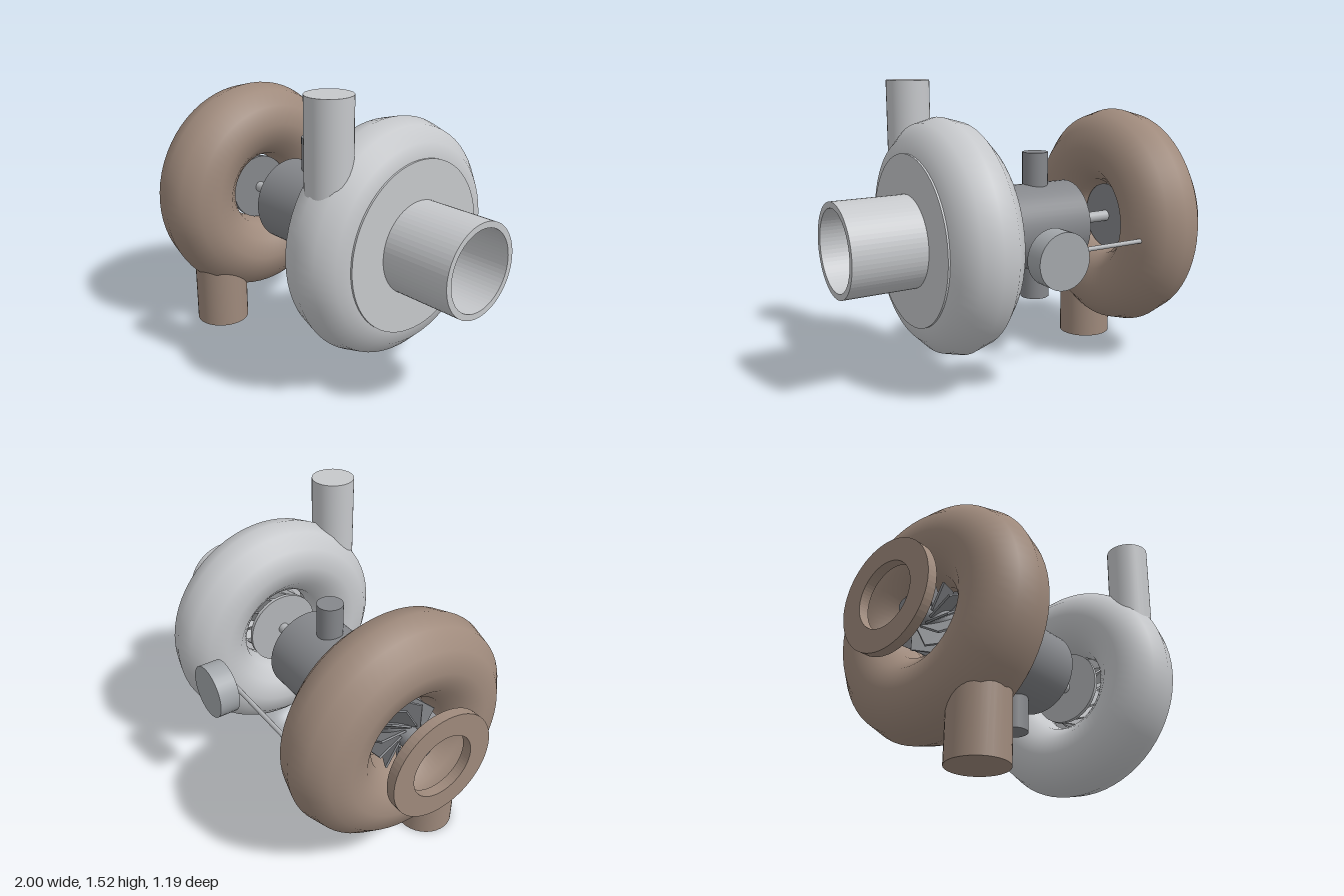
import * as THREE from 'three';

const AXIS_Y = 0.757;
const mat = (name, color) => {
  const m = new THREE.MeshStandardMaterial({ color });
  m.name = name;
  return m;
};

export function createModel() {
  const aluminium = mat('castAluminium', 0xc6c8cb);
  const castIron = mat('heatedCastIron', 0x9f8a7c);
  const housing = mat('centreHousingGrey', 0x85878b);
  const steel = mat('steel', 0xb4b6b9);
  const zinc = mat('actuatorZinc', 0xa4a8ac);

  const model = new THREE.Group();
  model.name = 'turbocharger';

  const add = (parent, name, geo, material, x = 0, y = 0, z = 0) => {
    const mesh = new THREE.Mesh(geo, material);
    mesh.name = name;
    mesh.position.set(x, y, z);
    parent.add(mesh);
    return mesh;
  };
  // Cylinder along x; r1 is the radius at the +x end
  const xCylinder = (r1, r0, length, sides = 48) =>
    new THREE.CylinderGeometry(r1, r0, length, sides).rotateZ(-Math.PI / 2);
  // Flat-ended ring along x, spanning x0 to x1
  const xRing = (outer, inner, x0, x1) => {
    const shape = new THREE.Shape().absarc(0, 0, outer, 0, Math.PI * 2);
    shape.holes.push(new THREE.Path().absarc(0, 0, inner, 0, Math.PI * 2, true));
    return new THREE.ExtrudeGeometry(shape, { depth: x1 - x0, bevelEnabled: false, curveSegments: 32 })
      .rotateY(Math.PI / 2).translate(x0, 0, 0);
  };

  const rotor = new THREE.Group();
  rotor.name = 'rotatingAxisParts';
  rotor.position.y = AXIS_Y;
  model.add(rotor);

  // Compressor side
  add(rotor, 'compressorScroll', new THREE.TorusGeometry(0.405, 0.192, 12, 64).rotateY(Math.PI / 2), aluminium, 0.43);
  add(rotor, 'compressorCover', xRing(0.43, 0.202, 0.58, 0.625), aluminium);
  add(rotor, 'compressorInlet', xRing(0.233, 0.202, 0.62, 1.0), aluminium);
  add(model, 'compressorOutlet', new THREE.CylinderGeometry(0.113, 0.113, 0.76, 32), aluminium, 0.43, 1.14, 0.39);

  // Turbine side
  add(rotor, 'turbineScroll', new THREE.TorusGeometry(0.39, 0.207, 12, 64).rotateY(Math.PI / 2), castIron, -0.645);
  add(rotor, 'turbineOutletFlange', xRing(0.277, 0.165, -1.0, -0.95), castIron);
  add(model, 'turbineInlet', new THREE.CylinderGeometry(0.146, 0.146, 0.5, 32), castIron, -0.645, 0.25, 0.26);

  // Bearing housing with oil ports
  add(rotor, 'bearingHousing', xCylinder(0.225, 0.225, 0.415), housing, -0.11);
  add(model, 'oilFeedPort', new THREE.CylinderGeometry(0.068, 0.068, 0.25, 24), housing, -0.112, 1.025, 0);
  add(model, 'oilDrainPort', new THREE.CylinderGeometry(0.077, 0.077, 0.25, 24), housing, -0.112, 0.49, 0);
  add(rotor, 'shaft', xCylinder(0.03, 0.03, 1.0, 24), steel, -0.12);

  // Bladed wheel facing +x: back disc, tapered hub and tilted blades
  const makeWheel = (name, material, radius, hubLength, hubTip) => {
    const wheel = new THREE.Group();
    wheel.name = name;
    add(wheel, 'backDisc', xCylinder(radius, radius, 0.02), material);
    add(wheel, 'hub', xCylinder(hubTip, 0.08, hubLength, 24), material, hubLength / 2);
    const bladeLength = radius * 0.94 - 0.03;
    const count = 12;
    for (let i = 0; i < count; i++) {
      const blade = new THREE.BoxGeometry(0.2, bladeLength, 0.01)
        .rotateY(0.62)
        .translate(0.09, 0.03 + bladeLength / 2, 0)
        .rotateX((i / count) * Math.PI * 2);
      add(wheel, 'blade', blade, material);
    }
    rotor.add(wheel);
    return wheel;
  };
  makeWheel('compressorWheel', steel, 0.2, 0.2, 0.052).position.x = 0.345;
  const turbineWheel = makeWheel('turbineWheel', housing, 0.18, 0.28, 0.035);
  turbineWheel.rotation.y = Math.PI;
  turbineWheel.position.x = -0.6;

  // Wastegate actuator and its rod
  add(model, 'actuatorCan', new THREE.CylinderGeometry(0.14, 0.14, 0.107, 32).rotateX(Math.PI / 2), zinc, 0.107, 0.716, -0.544);
  add(model, 'actuatorRod', xCylinder(0.012, 0.012, 0.55, 12), steel, -0.19, 0.716, -0.457);

  return model;
}
